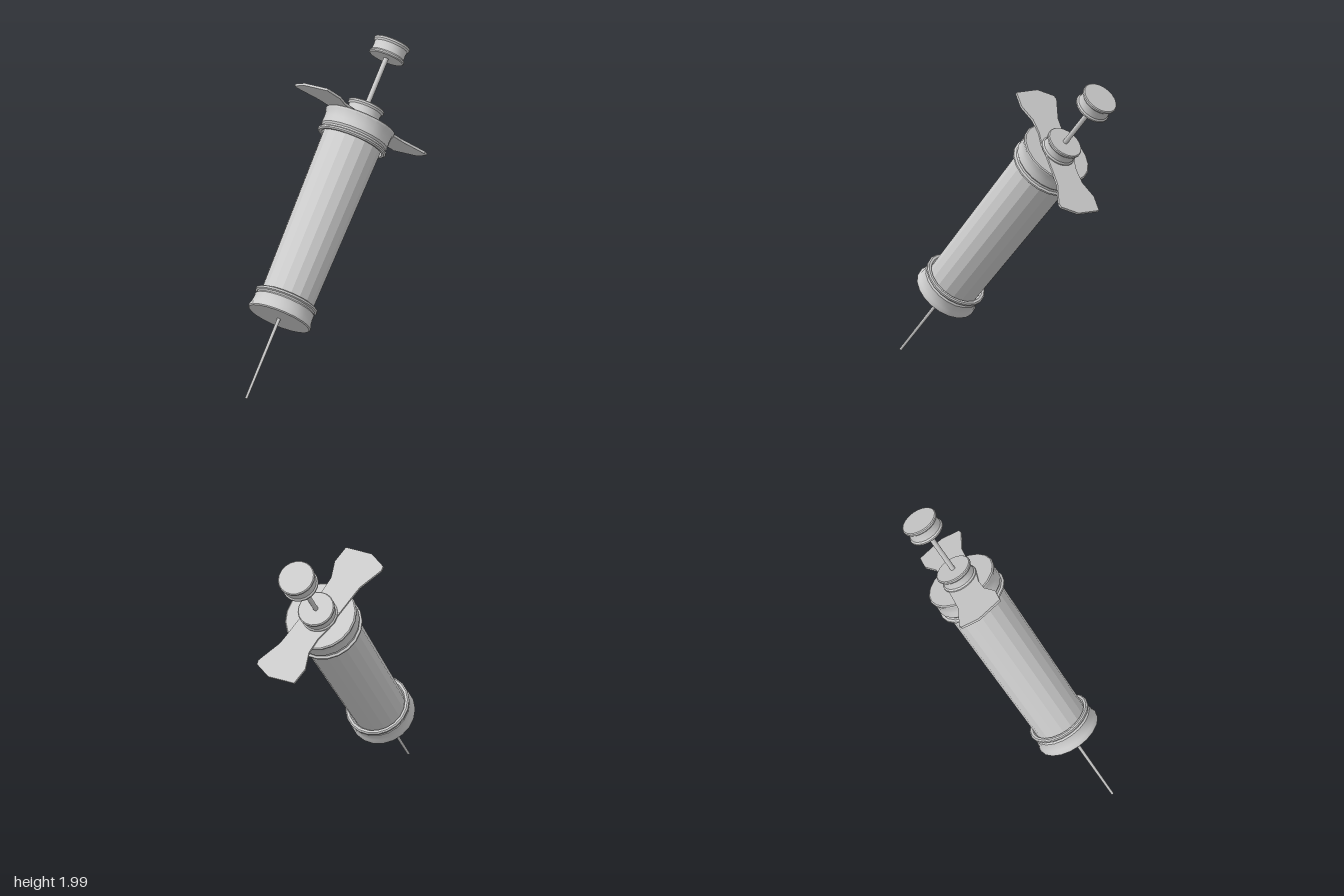
import * as THREE from 'three';
import { toCreasedNormals } from 'three/addons/utils/BufferGeometryUtils.js';

const grey = new THREE.MeshStandardMaterial({ color: 0xcccccc });
const facetedGrey = new THREE.MeshStandardMaterial({ color: 0xcccccc, flatShading: true });

export function createModel() {
  // Built upright along y from the needle tip, then tilted as a whole.
  const syringe = new THREE.Group();
  syringe.name = 'syringe';

  const add = (name, geometry, material = grey) => {
    const mesh = new THREE.Mesh(geometry, material);
    mesh.name = name;
    syringe.add(mesh);
  };

  // Turned part from [radius, height] pairs, closed at both ends.
  const turned = (name, profile, sides = 20) => {
    const pts = [[0, profile[0][1]], ...profile, [0, profile.at(-1)[1]]];
    const geo = new THREE.LatheGeometry(pts.map(([r, y]) => new THREE.Vector2(r, y)), sides);
    add(name, toCreasedNormals(geo, 0.6));
  };

  const rod = (name, rBottom, rTop, from, to, sides, material) => {
    const geo = new THREE.CylinderGeometry(rTop, rBottom, to - from, sides);
    add(name, geo.translate(0, (from + to) / 2, 0), material);
  };

  rod('needle', 0.009, 0.012, 0, 0.62, 8);
  rod('barrel', 0.181, 0.203, 0.66, 1.93, 18, facetedGrey);
  rod('plungerRod', 0.017, 0.017, 2.08, 2.5, 8);

  // Collars at both ends of the barrel, each with lips and a groove
  turned('lowerCollar', [
    [0.212, 0.58], [0.22, 0.587], [0.22, 0.6], [0.211, 0.618], [0.207, 0.66],
    [0.209, 0.68], [0.199, 0.69], [0.203, 0.7], [0.217, 0.706], [0.217, 0.718],
    [0.208, 0.725], [0.192, 0.725], [0.18, 0.7],
  ]);
  turned('upperCollar', [
    [0.2, 1.88], [0.215, 1.855], [0.23, 1.855], [0.24, 1.863], [0.24, 1.874],
    [0.226, 1.882], [0.222, 1.895], [0.233, 1.908], [0.231, 1.95], [0.234, 1.99],
    [0.243, 2.005], [0.243, 2.016], [0.235, 2.022],
  ]);

  // Flat finger grip, the second wing being the first turned half way round
  const wing = [[0.05, -0.11], [0.22, -0.122], [0.29, -0.128], [0.46, -0.19], [0.49, -0.182],
    [0.53, -0.06], [0.49, 0.127], [0.37, 0.137], [0.26, 0.09], [0.15, 0.088], [0.05, 0.11]];
  const outline = [...wing, ...wing.map(([x, y]) => [-x, -y])];
  const grip = new THREE.ExtrudeGeometry(
    new THREE.Shape(outline.map(([x, y]) => new THREE.Vector2(x, y))),
    { depth: 0.016, bevelEnabled: false });
  add('fingerGrip', grip.rotateX(-Math.PI / 2).translate(0, 2.018, 0));

  // Hub on the grip and thumb rest on the rod share the same waisted form
  const waisted = (name, from, to) => turned(name, [
    [0.115, from], [0.122, from + 0.006], [0.122, from + 0.016], [0.113, from + 0.026],
    [0.111, (from + to) / 2], [0.114, to - 0.03], [0.125, to - 0.018],
    [0.125, to - 0.006], [0.119, to],
  ]);
  waisted('hub', 2.025, 2.13);
  waisted('thumbRest', 2.47, 2.585);

  // Lean the long axis and turn the grip about it
  const axis = new THREE.Vector3(0.667, 0.737, -0.109).normalize();
  const side = new THREE.Vector3(0.74, -0.65, 0.16);
  side.addScaledVector(axis, -side.dot(axis)).normalize();
  const depth = new THREE.Vector3().crossVectors(side, axis);
  syringe.quaternion.setFromRotationMatrix(new THREE.Matrix4().makeBasis(side, axis, depth));
  syringe.position.set(-0.91, 0.007, 0.16);

  const model = new THREE.Group();
  model.add(syringe);
  return model;
}
